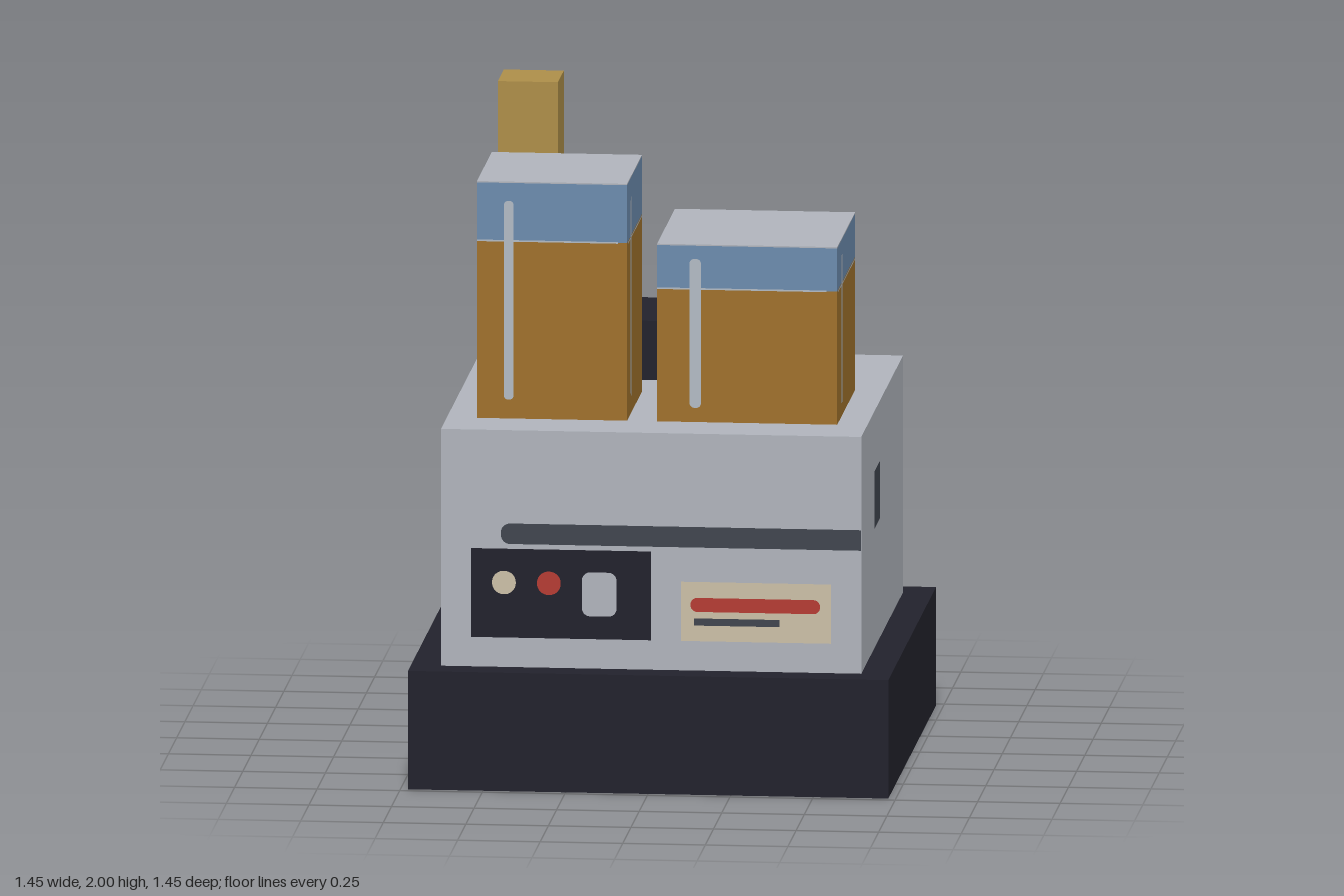
import * as THREE from 'three';

const U = 1 / 11; // block unit

function material(name, color) {
  const m = new THREE.MeshStandardMaterial({ color });
  m.name = name;
  return m;
}

export function createModel() {
  const dark = material('dark metal', 0x22222c);
  const grey = material('light grey', 0xb0b4bc);
  const amber = material('amber liquid', 0xa0712c);
  const blue = material('blue glass', 0x6c8cae);
  const brass = material('brass', 0xad8e49);
  const slate = material('slate', 0x40454e);
  const red = material('red', 0xb53c33);
  const cream = material('cream', 0xcbbfa6);
  const shine = material('glass shine', 0xb2bac4);

  const model = new THREE.Group();
  model.name = 'brewingMachine';

  // Box given by its minimum and maximum corners
  function box(name, mat, [x0, y0, z0], [x1, y1, z1], parent = model) {
    const mesh = new THREE.Mesh(new THREE.BoxGeometry(x1 - x0, y1 - y0, z1 - z0), mat);
    mesh.position.set((x0 + x1) / 2, (y0 + y1) / 2, (z0 + z1) / 2);
    mesh.name = name;
    parent.add(mesh);
    return mesh;
  }

  // Flat painted patch, optionally with rounded corners, facing +z
  function patch(name, mat, x0, y0, x1, y1, z, r, parent) {
    const s = new THREE.Shape();
    if (r > 0) {
      s.absarc(x1 - r, y1 - r, r, 0, Math.PI / 2);
      s.absarc(x0 + r, y1 - r, r, Math.PI / 2, Math.PI);
      s.absarc(x0 + r, y0 + r, r, Math.PI, Math.PI * 1.5);
      s.absarc(x1 - r, y0 + r, r, Math.PI * 1.5, Math.PI * 2);
    } else {
      s.moveTo(x0, y0).lineTo(x1, y0).lineTo(x1, y1).lineTo(x0, y1);
    }
    const mesh = new THREE.Mesh(new THREE.ShapeGeometry(s, 5), mat);
    mesh.position.z = z;
    mesh.name = name;
    parent.add(mesh);
    return mesh;
  }

  // Group turned to a side: 0 front, 1 left (+x), 2 back, 3 right (-x)
  function side(name, turn, parent) {
    const g = new THREE.Group();
    g.name = name;
    g.rotation.y = turn * Math.PI / 2;
    parent.add(g);
    return g;
  }

  // Main blocks
  box('base', dark, [-8 * U, 0, -8 * U], [8 * U, 4 * U, 8 * U]);
  box('body', grey, [-7 * U, 4 * U, -7 * U], [7 * U, 12 * U, 7 * U]);
  box('rearHousing', dark, [-4 * U, 12 * U, -6 * U], [5 * U, 14 * U, -2 * U]);
  box('chimney', brass, [-6 * U, 12 * U, -4 * U], [-4 * U, 22 * U, -2 * U]);

  // Square tanks: amber liquid, blue glass above, grey lid, shine on each side
  function tank(name, x0, x1, z0, z1, height) {
    const g = new THREE.Group();
    g.name = name;
    g.position.set((x0 + x1) / 2, 12 * U, (z0 + z1) / 2);
    model.add(g);
    const h = (x1 - x0) / 2, d = (z1 - z0) / 2, level = height * 0.75;
    box('liquid', amber, [-h, 0, -d], [h, level, d], g);
    box('glass', blue, [-h, level, -d], [h, height - 0.004, d], g);
    box('lid', grey, [-h, height - 0.004, -d], [h, height, d], g);
    for (let i = 0; i < 4; i++) {
      const f = side('tankSide', i, g);
      const w = i % 2 ? d : h, out = (i % 2 ? h : d) + 0.003;
      patch('shineStreak', shine, -w + w * 0.36, height * 0.08, -w + w * 0.49, height * 0.92, out, w * 0.06, f);
      patch('liquidLine', shine, -w, level - 0.002, w * 0.88, level + 0.003, out, 0, f);
    }
  }
  tank('tallTank', -6 * U, -1 * U, 0, 5 * U, 8 * U);
  tank('shortTank', 0, 6 * U, -1 * U, 5 * U, 6 * U);

  // Body front: stripe, control panel and label
  const z1 = 7 * U + 0.003, z2 = z1 + 0.003;
  const front = side('bodyFront', 0, model);
  patch('stripe', slate, -5 * U, 0.742, 0.3, 0.805, z1, 0.028, front);
  patch('stripeEnd', slate, 0.2, 0.742, 7 * U, 0.805, z1 + 0.0005, 0, front);
  patch('controlPanel', dark, -6 * U, 5 * U, 0, 8 * U, z1, 0, front);
  patch('creamButton', cream, -0.481, 0.588, -0.409, 0.66, z2, 0.035, front);
  patch('redButton', red, -0.345, 0.588, -0.273, 0.66, z2, 0.035, front);
  patch('panelSwitch', grey, -0.209, 0.525, -0.104, 0.66, z2, 0.025, front);
  patch('labelPlate', cream, U, 5 * U, 6 * U, 7 * U, z1, 0, front);
  patch('labelRedBar', red, 0.12, 0.545, 0.512, 0.588, z2, 0.02, front);
  patch('labelDarkBar', slate, 0.13, 0.503, 0.39, 0.525, z2, 0, front);

  // Vents on the other three sides
  const vents = [[1, -0.27], [2, -7 * U], [2, 3 * U], [3, -0.27]];
  for (const [turn, x] of vents) {
    patch('vent', slate, x, 0.735, x + 0.18, 0.912, z1, 0.018, side('bodySide', turn, model));
  }
  return model;
}
